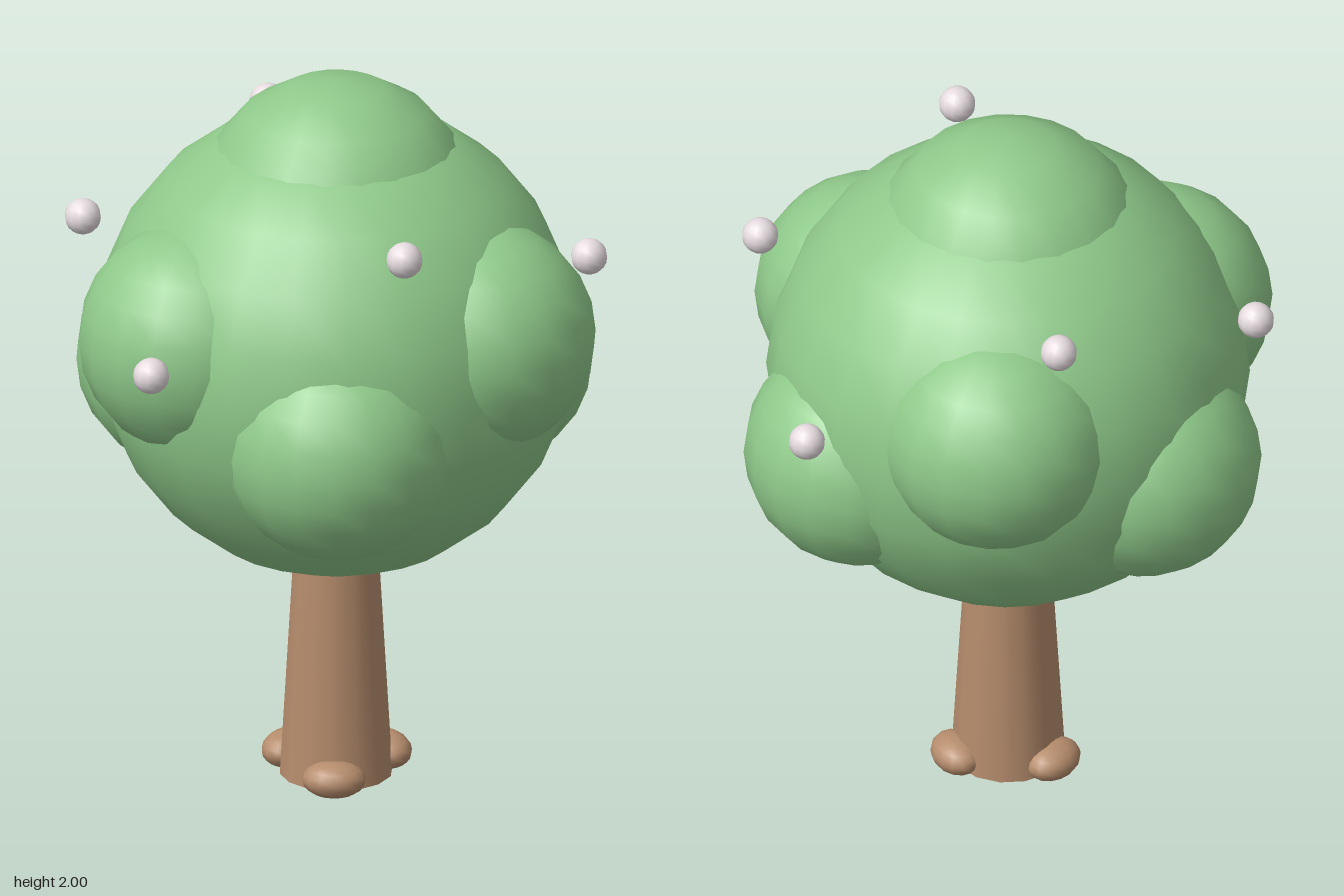
import * as THREE from 'three';

export function createModel() {
  const tree = new THREE.Group();
  tree.name = 'tree';
  const leaf = new THREE.MeshStandardMaterial({ color: 0x8fc98a });
  const bark = new THREE.MeshStandardMaterial({ color: 0xb58c6c });
  const pale = new THREE.MeshStandardMaterial({ color: 0xe6dce0 });

  function add(name, geometry, material, x, y, z) {
    const mesh = new THREE.Mesh(geometry, material);
    mesh.name = name;
    mesh.position.set(x, y, z);
    tree.add(mesh);
    return mesh;
  }

  // Tapered trunk, running up into the crown
  const bottom = 0.015, top = 0.75;
  add('trunk', new THREE.CylinderGeometry(0.109, 0.152, top - bottom, 14), bark, 0, (top + bottom) / 2, 0);

  // Three flattened roots, wider across than outward
  const rootShape = new THREE.SphereGeometry(1, 14, 10);
  for (let i = 0; i < 3; i++) {
    const a = 0.35 + (i * Math.PI * 2) / 3;
    const root = add('root', rootShape, bark, Math.cos(a) * 0.15, 0.05, Math.sin(a) * 0.15);
    root.scale.set(0.066, 0.05, 0.086);
    root.rotation.y = -a;
  }

  // Crown core and cap
  add('crown', new THREE.SphereGeometry(0.645, 24, 12), leaf, 0, 1.262, 0);
  add('crownCap', new THREE.SphereGeometry(0.38, 20, 9), leaf, 0, 1.62, 0);

  // Ring of six lobes, alternately low and high
  const lobeShape = new THREE.SphereGeometry(0.315, 18, 12);
  for (let i = 0; i < 6; i++) {
    const a = 0.3 + (i * Math.PI) / 3;
    add('crownLobe', lobeShape, leaf, Math.cos(a) * 0.435, i % 2 ? 1.35 : 1.13, Math.sin(a) * 0.435);
  }

  // Berries in opposite pairs
  const berryShape = new THREE.SphereGeometry(0.049, 12, 10);
  for (const [x, y, z] of [[0.737, 1.37, 0], [0.345, 1.55, 0.597], [-0.3, 1.71, 0.515]]) {
    for (const s of [1, -1]) add('berry', berryShape, pale, x * s, y, z * s);
  }

  return tree;
}
